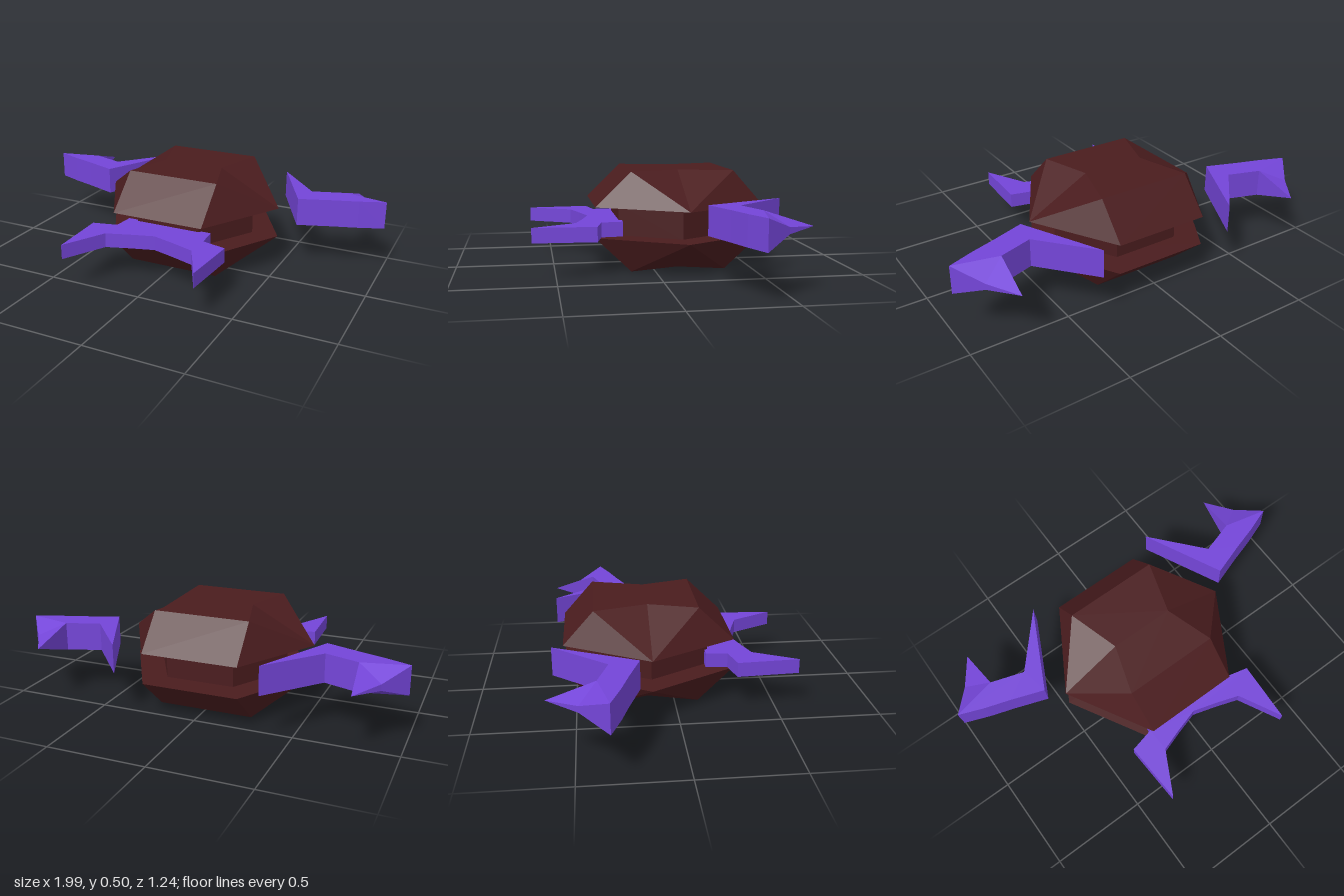
import * as THREE from 'three';

const shellMat = new THREE.MeshStandardMaterial({ color: 0x4a1c1e, flatShading: true });
const hornMat = new THREE.MeshStandardMaterial({ color: 0x7445d8, flatShading: true });

function addMesh(parent, name, geometry, material) {
  const mesh = new THREE.Mesh(geometry, material);
  mesh.name = name;
  parent.add(mesh);
}

// Upright prism from an outline of [x, z] points
function prism(points, y0, y1) {
  const shape = new THREE.Shape(points.map(([x, z]) => new THREE.Vector2(x, -z)));
  const g = new THREE.ExtrudeGeometry(shape, { depth: y1 - y0, bevelEnabled: false });
  return g.rotateX(-Math.PI / 2).translate(0, y0, 0);
}

// Triangles from corner points; flip reverses the winding for mirrored parts
function triangles(points, faces, flip) {
  const g = new THREE.BufferGeometry();
  g.setAttribute('position', new THREE.Float32BufferAttribute(points.flat(), 3));
  g.setIndex(faces.flatMap(([a, b, c]) => (flip ? [a, c, b] : [a, b, c])));
  const flat = g.toNonIndexed();
  flat.computeVertexNormals();
  return flat;
}

// Six corners, anticlockwise seen from above: front, middle, back on each side
const hexagon = (end, mid, front, back, zMid = -0.13) => [
  [end, front], [mid, zMid], [end, back], [-end, back], [-mid, zMid], [-end, front],
];

// Shell with a wide hexagonal rim and a smaller, waisted flat face
function shell(yRim, yFace, back) {
  const points = [
    ...hexagon(0.245, 0.49, 0.3, -0.555).map(([x, z]) => [x, yRim, z]),
    ...hexagon(0.245, 0.165, 0.12, back).map(([x, z]) => [x, yFace, z]),
  ];
  const faces = [];
  for (let i = 0; i < 6; i++) {
    const j = (i + 1) % 6;
    // the fold always leaves from the rim's side or end corner
    const frontToMid = i === 0 || i === 3 ? true : false;
    const midToBack = !frontToMid;
    const keepI = i === 4 || (midToBack && i === 1);
    if (keepI) faces.push([i, j, 6 + j], [i, 6 + j, 6 + i]);
    else if (i === 3 || i === 0) faces.push([i, j, 6 + i], [j, 6 + j, 6 + i]);
    else faces.push([i, j, 6 + j], [i, 6 + j, 6 + i]);
  }
  // flat caps fanned from a waist corner
  for (const [a, b] of [[2, 3], [3, 4], [4, 5], [5, 0]]) {
    faces.push([7, 6 + a, 6 + b], [1, b, a]);
  }
  return triangles(points, faces, yFace < yRim);
}

// Side claw: flat curved body with an inner blade and a tapering outer spike
function claw(side) {
  const group = new THREE.Group();
  const y0 = 0.23, y1 = 0.375, yMid = 0.3025;
  const body = [
    [0.37, -0.605], [0.6, -0.34], [0.77, -0.395], [0.995, -0.345],
    [0.865, -0.295], [0.74, -0.255], [0.57, -0.195],
  ];
  addMesh(group, 'clawBody', prism(body.map(([x, z]) => [side * x, z]), y0, y1), hornMat);

  const corners = [
    [0.77, y1, -0.395], [0.995, y1, -0.345], [0.89, 0.318, -0.475],
    [0.77, y0, -0.395], [0.995, y0, -0.345], [0.89, 0.287, -0.475],
    [0.79, yMid, -0.62],
  ].map(([x, y, z]) => [side * x, y, z]);
  const faces = [
    [0, 1, 2], [0, 2, 6], // upper
    [3, 5, 4], [3, 6, 5], // lower
    [1, 4, 5], [1, 5, 2], [2, 5, 6], // outer
    [3, 0, 6], // inner
  ];
  addMesh(group, 'clawSpike', triangles(corners, faces, side < 0), hornMat);
  return group;
}

export function createModel() {
  const model = new THREE.Group();
  model.name = 'hornedShell';

  // Body: two shells around a recessed core
  addMesh(model, 'upperShell', shell(0.33, 0.505, -0.4), shellMat);
  addMesh(model, 'lowerShell', shell(0.175, 0, -0.36), shellMat);
  addMesh(model, 'core', prism(hexagon(0.175, 0.35, 0.175, -0.425, -0.125), 0.17, 0.335), shellMat);

  // Front pincer, mirrored about the middle
  const half = [
    [0.12, 0.355], [0.24, 0.395], [0.355, 0.615],
    [0.372, 0.3], [0.245, 0.27], [0.235, 0.16],
  ];
  const pincer = [[0, 0.32], ...half, ...half.map(([x, z]) => [-x, z]).reverse()];
  addMesh(model, 'frontPincer', prism(pincer, 0.179, 0.254), hornMat);

  // Detached claws at the sides
  for (const side of [1, -1]) {
    const c = claw(side);
    c.name = side > 0 ? 'leftClaw' : 'rightClaw';
    model.add(c);
  }
  return model;
}
